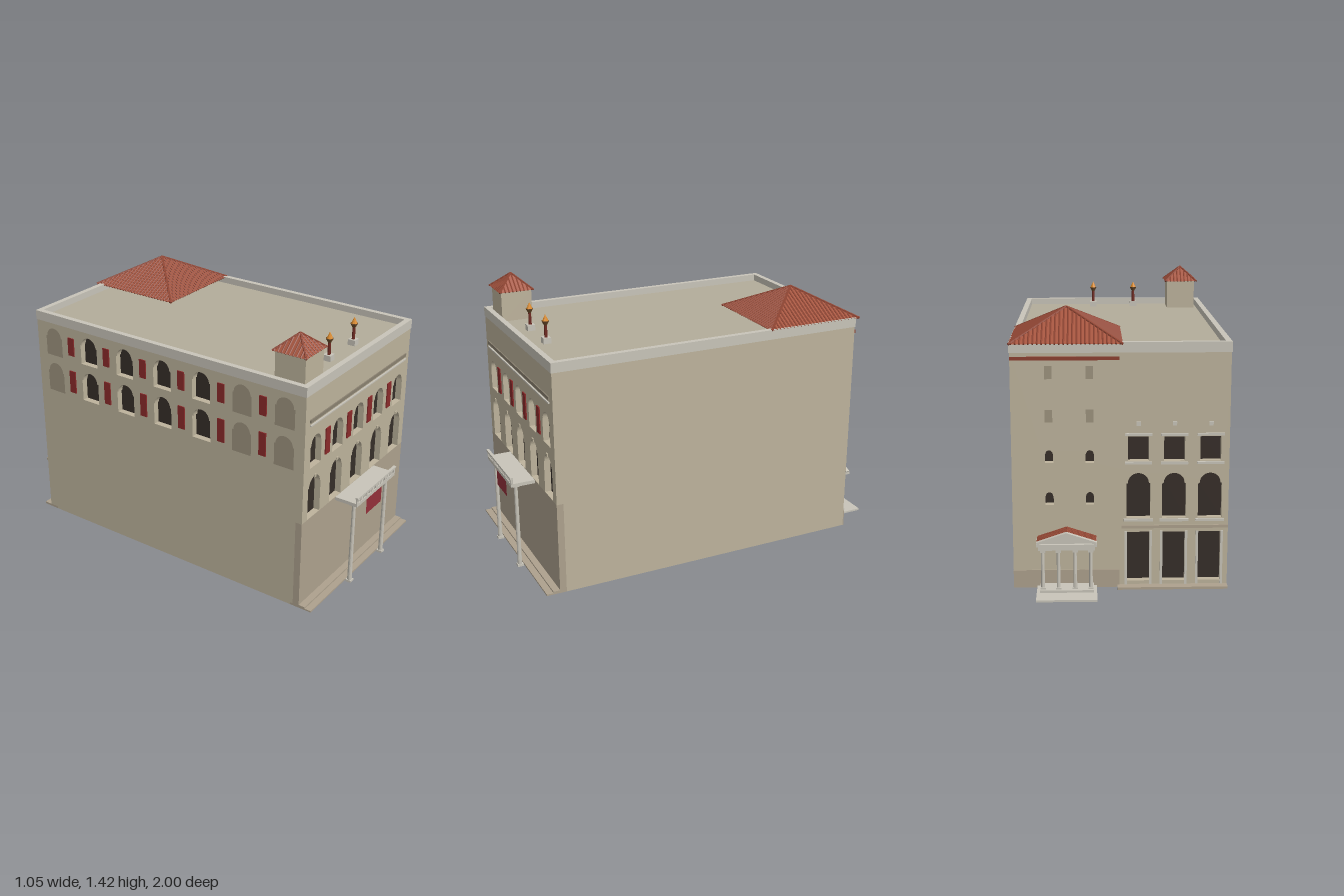
import * as THREE from 'three';

const WALL = 0xbdb39c, LOWER = 0xada18d, DARK = 0x362e29, STONE = 0xc8c4b9, RED = 0x8a2a2a, TILE = 0xa5553f, RIB = 0x8f4533;
const mats = {};
const mat = (color) => (mats[color] ??= new THREE.MeshStandardMaterial({ color, flatShading: true, side: THREE.DoubleSide }));

function add(parent, name, geo, color, x = 0, y = 0, z = 0) {
  const m = new THREE.Mesh(geo, mat(color));
  m.name = name;
  m.position.set(x, y, z);
  parent.add(m);
  return m;
}
// box given by its limits
function box(parent, name, color, x0, x1, y0, y1, z0, z1) {
  return add(parent, name, new THREE.BoxGeometry(x1 - x0, y1 - y0, z1 - z0), color, (x0 + x1) / 2, (y0 + y1) / 2, (z0 + z1) / 2);
}
function rod(parent, name, color, a, b, r, sides = 5) {
  const d = b.clone().sub(a);
  const m = add(parent, name, new THREE.CylinderGeometry(r, r, d.length(), sides), color);
  m.position.copy(a).add(b).multiplyScalar(0.5);
  m.quaternion.setFromUnitVectors(new THREE.Vector3(0, 1, 0), d.normalize());
  return m;
}

// opening outline: rectangle, or arch set slightly inside its jambs
function outline(o, Type = THREE.Path) {
  const p = new Type(), h = o.w / 2;
  p.moveTo(o.u - h, o.y0);
  p.lineTo(o.u + h, o.y0);
  if (o.arch) {
    const r = h * 0.88, s = o.y1 - r;
    p.lineTo(o.u + h, s);
    p.lineTo(o.u + r, s);
    p.absarc(o.u, s, r, 0, Math.PI, false);
    p.lineTo(o.u - h, s);
  } else {
    p.lineTo(o.u + h, o.y1);
    p.lineTo(o.u - h, o.y1);
  }
  p.closePath();
  return p;
}

// wall with recessed openings, facing local +z, outer face at z = 0
const DEPTH = 0.035;
function facade(parent, name, u0, u1, y0, y1, openings) {
  const g = new THREE.Group();
  g.name = name;
  parent.add(g);
  const s = new THREE.Shape();
  s.moveTo(u0, y0);
  s.lineTo(u1, y0);
  s.lineTo(u1, y1);
  s.lineTo(u0, y1);
  s.closePath();
  s.holes = openings.filter((o) => !o.blind).map((o) => outline(o));
  add(g, 'wall', new THREE.ExtrudeGeometry(s, { depth: DEPTH, bevelEnabled: false, curveSegments: 10 }), WALL, 0, 0, -DEPTH);
  for (const o of openings) {
    const pane = new THREE.ShapeGeometry(outline(o, THREE.Shape), 10);
    add(g, o.blind ? 'blindWindow' : 'windowPane', pane, o.blind ? 0x9d937e : DARK, 0, 0, o.blind ? 0.001 : 0.002 - DEPTH);
  }
  return g;
}

// pyramid roof with ribs running up every slope
function hipRoof(parent, name, x, y, z, w, h, n, r) {
  const g = new THREE.Group();
  g.name = name;
  g.position.set(x, y, z);
  parent.add(g);
  const a = w / 2;
  const cone = new THREE.ConeGeometry(a * Math.SQRT2, h, 4, 1);
  cone.rotateY(Math.PI / 4);
  add(g, 'roofSlopes', cone, TILE, 0, h / 2, 0);
  for (let k = 0; k < 4; k++) {
    const side = new THREE.Group();
    side.name = 'roofSide';
    side.rotation.y = (k * Math.PI) / 2;
    g.add(side);
    for (let i = 0; i < n; i++) {
      const t = (((i + 0.5) / n) * 2 - 1) * a, f = Math.abs(t) / a;
      rod(side, 'tileRib', RIB, new THREE.Vector3(t, 0, a), new THREE.Vector3(t, h * (1 - f), a * f), r);
    }
    rod(side, 'hipRidge', RIB, new THREE.Vector3(a, 0, a), new THREE.Vector3(0, h, 0), r * 1.3);
  }
}

export function createModel() {
  const root = new THREE.Group();
  root.name = 'building';
  const X0 = -0.525, X1 = 0.515, Z0 = -0.81, Z1 = 0.87, TOP = 1.17;

  // core, base slabs and roof parapet
  box(root, 'core', WALL, X0 + DEPTH, X1, 0, TOP, Z0 + DEPTH, Z1 - DEPTH);
  box(root, 'frontPaving', LOWER, X0, X1, 0, 0.008, Z1 - 0.05, 0.94);
  box(root, 'frontStep', LOWER, X0, X1, 0, 0.016, Z1 - 0.05, 0.905);
  box(root, 'backPaving', LOWER, X0, 0.01, 0, 0.012, -0.855, Z0 + 0.05);
  box(root, 'roofDeck', 0xb3ac9a, X0 + 0.01, X1 - 0.01, TOP - 0.01, TOP + 0.005, Z0 + 0.01, Z1 - 0.01);
  const e = 0.003, t = 0.026;
  box(root, 'parapetFront', STONE, X0 - e, X1 + e, TOP - 0.01, 1.21, Z1 - t, Z1 + e);
  box(root, 'parapetBack', STONE, X0 - e, X1 + e, TOP - 0.01, 1.21, Z0 - e, Z0 + t);
  box(root, 'parapetLeft', STONE, X1 - t, X1 + e, TOP - 0.01, 1.21, Z0, Z1);
  box(root, 'parapetRight', STONE, X0 - e, X0 + t, TOP - 0.01, 1.21, Z0, Z1);

  // front: plain lower storey, two rows of arches, banners
  box(root, 'lowerStorey', LOWER, X0, X1, 0, 0.485, Z1 - DEPTH, Z1);
  const frontHoles = [];
  for (let i = 0; i < 5; i++) {
    const u = -0.42 + i * 0.2075;
    frontHoles.push({ u, w: 0.115, y0: 0.487, y1: 0.708, arch: true }, { u, w: 0.1, y0: 0.765, y1: 0.93, arch: true });
  }
  const front = facade(root, 'frontWall', X0, X1, 0.485, TOP, frontHoles);
  front.position.z = Z1;
  for (let i = 0; i < 4; i++) {
    const u = -0.316 + i * 0.2075;
    box(front, 'banner', RED, u - 0.02, u + 0.02, 0.785, 0.925, 0, 0.006);
  }
  for (let i = 0; i < 5; i++) {
    const u = -0.42 + i * 0.2075;
    box(front, 'keystone', WALL, u - 0.008, u + 0.008, 0.702, 0.718, 0, 0.005);
  }
  box(front, 'corniceLower', STONE, -0.485, 0.475, 0.996, 1.003, 0, 0.008);
  box(front, 'corniceUpper', 0x8a8170, -0.485, 0.475, 1.014, 1.031, 0, 0.006);

  // right side: two rows of arches with banners between
  const sideHoles = [];
  for (let i = 0; i < 7; i++) {
    const u = -0.694 + i * 0.242, blind = i === 0 || i > 4;
    sideHoles.push({ u, w: 0.11, y0: 0.765, y1: 0.93, arch: true, blind }, { u, w: 0.11, y0: 0.975, y1: 1.13, arch: true, blind });
  }
  const side = facade(root, 'rightWall', Z0 + DEPTH, Z1 - DEPTH, 0, TOP, sideHoles);
  side.rotation.y = -Math.PI / 2;
  side.position.x = X0;
  for (let i = 0; i < 6; i++) {
    const u = -0.573 + i * 0.242;
    for (const y of [0.79, 1.005]) box(side, 'banner', RED, u - 0.02, u + 0.02, y, y + (y < 1 ? 0.125 : 0.1), 0, 0.006);
  }

  // back: three arcaded bays beside a tower with small windows
  const bays = [0.09, 0.262, 0.435];
  const backHoles = [];
  for (const u of bays) {
    backHoles.push({ u, w: 0.11, y0: 0.03, y1: 0.28 });
    backHoles.push({ u, w: 0.115, y0: 0.35, y1: 0.575, arch: true });
    backHoles.push({ u, w: 0.1, y0: 0.635, y1: 0.755 });
  }
  for (const u of [-0.336, -0.142]) {
    for (const y of [0.42, 0.628]) backHoles.push({ u, w: 0.04, y0: y, y1: y + 0.062, arch: true });
    for (const y of [0.826, 1.035]) backHoles.push({ u, w: 0.036, y0: y, y1: y + 0.062, blind: true });
  }
  const back = facade(root, 'backWall', -X1, -X0, 0, TOP, backHoles);
  back.rotation.y = Math.PI;
  back.position.z = Z0;
  for (const u of bays) {
    for (const [y, w] of [[0.335, 0.07], [0.62, 0.065], [0.76, 0.065]]) box(back, 'ledge', STONE, u - w, u + w, y, y + 0.012, 0, 0.01);
    box(back, 'corbel', STONE, u - 0.01, u + 0.01, 0.81, 0.83, 0, 0.01);
    for (const s of [-1, 1]) box(back, 'doorJamb', STONE, u + s * 0.06 - 0.006, u + s * 0.06 + 0.006, 0.012, 0.285, 0, 0.006);
  }
  box(back, 'stringCourse', LOWER, 0.01, -X0, 0.3, 0.315, 0, 0.008);
  box(back, 'towerBase', LOWER, -X1, 0, 0, 0.09, 0, 0.006);
  box(back, 'towerStripe', 0x8c3f30, -X1, 0, 1.125, 1.142, 0, 0.006);

  // roofs
  hipRoof(root, 'towerRoof', 0.252, 1.205, -0.57, 0.53, 0.14, 26, 0.005);
  box(root, 'turret', WALL, -0.485, -0.325, TOP, 1.335, 0.67, 0.835);
  hipRoof(root, 'turretRoof', -0.406, 1.332, 0.753, 0.185, 0.08, 9, 0.004);

  // roof torches
  for (const x of [-0.125, 0.115]) {
    const g = new THREE.Group();
    g.name = 'torch';
    g.position.set(x, TOP, 0.75);
    root.add(g);
    box(g, 'pedestal', STONE, -0.02, 0.02, 0, 0.035, -0.02, 0.02);
    add(g, 'post', new THREE.CylinderGeometry(0.007, 0.009, 0.08, 8), 0x6e2a22, 0, 0.07, 0);
    add(g, 'bowl', new THREE.CylinderGeometry(0.02, 0.008, 0.022, 8), 0x6b4a2a, 0, 0.108, 0);
    add(g, 'flame', new THREE.ConeGeometry(0.017, 0.036, 8), 0xd98a2b, 0, 0.135, 0);
  }

  // front balcony on two columns
  const balcony = new THREE.Group();
  balcony.name = 'balcony';
  root.add(balcony);
  box(balcony, 'floor', STONE, -0.205, 0.195, 0.467, 0.485, Z1, 0.995);
  box(balcony, 'handrail', STONE, -0.208, 0.198, 0.511, 0.521, 0.985, 1);
  for (let i = 0; i < 25; i++) {
    const x = -0.2 + i * 0.0163, r = i % 6 === 0 ? 0.007 : 0.003;
    add(balcony, 'baluster', new THREE.CylinderGeometry(r, r, 0.03, 6), STONE, x, 0.498, 0.991);
  }
  add(balcony, 'hangingFlag', new THREE.PlaneGeometry(0.16, 0.118), 0x93303a, -0.005, 0.424, 0.985);
  for (const x of [-0.175, 0.162]) {
    add(balcony, 'column', new THREE.CylinderGeometry(0.0095, 0.012, 0.45, 12), STONE, x, 0.235, 0.962);
    box(balcony, 'columnBase', STONE, x - 0.015, x + 0.015, 0, 0.012, 0.945, 0.977);
    box(balcony, 'capital', STONE, x - 0.014, x + 0.014, 0.455, 0.468, 0.945, 0.977);
  }

  // rear porch with pediment
  const porch = new THREE.Group();
  porch.name = 'rearPorch';
  porch.position.set(0.255, 0, 0);
  root.add(porch);
  box(porch, 'platform', STONE, -0.145, 0.145, 0, 0.01, -1, Z0);
  box(porch, 'step', STONE, -0.13, 0.13, 0.01, 0.022, -0.91, Z0);
  for (const x of [-0.115, -0.04, 0.04, 0.115]) {
    add(porch, 'column', new THREE.CylinderGeometry(0.008, 0.01, 0.19, 10), STONE, x, 0.117, -0.883);
    box(porch, 'columnBase', STONE, x - 0.013, x + 0.013, 0.022, 0.03, -0.896, -0.87);
    box(porch, 'capital', STONE, x - 0.013, x + 0.013, 0.208, 0.22, -0.896, -0.87);
  }
  box(porch, 'entablature', STONE, -0.135, 0.135, 0.22, 0.245, -0.9, Z0);
  box(porch, 'porchCornice', STONE, -0.145, 0.145, 0.245, 0.256, -0.92, Z0);
  const gable = new THREE.Shape([new THREE.Vector2(-0.14, 0.256), new THREE.Vector2(0.14, 0.256), new THREE.Vector2(0, 0.303)]);
  add(porch, 'pediment', new THREE.ExtrudeGeometry(gable, { depth: 0.095, bevelEnabled: false }), STONE, 0, 0, -0.905);
  for (const s of [-1, 1]) {
    const a = Math.atan2(0.047, 0.14);
    const slope = add(porch, 'porchRoof', new THREE.BoxGeometry(0.148, 0.006, 0.085), TILE, s * 0.071, 0.283, -0.853);
    const rake = add(porch, 'rakingCornice', new THREE.BoxGeometry(0.152, 0.012, 0.022), STONE, s * 0.071, 0.283, -0.906);
    slope.rotation.z = rake.rotation.z = -s * a;
    for (let i = 0; i < 7; i++) {
      const z = -0.888 + i * 0.012;
      rod(porch, 'porchTileRib', RIB, new THREE.Vector3(s * 0.142, 0.262, z), new THREE.Vector3(0, 0.309, z), 0.003);
    }
  }
  return root;
}
